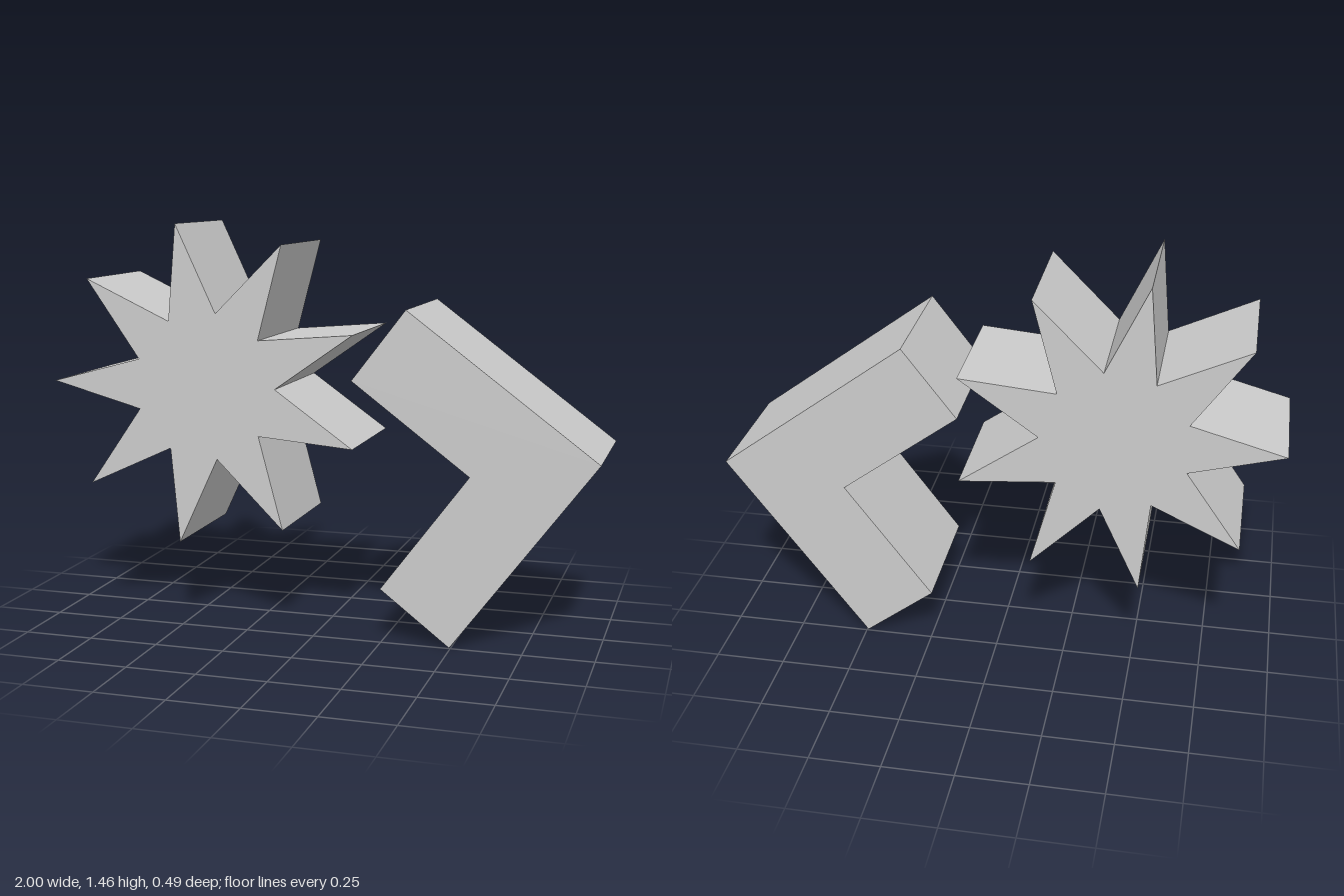
import * as THREE from 'three';

// Extrude a flat outline between two depths, with sharp edges
function prism(name, points, zBack, zFront) {
  const geometry = new THREE.ExtrudeGeometry(new THREE.Shape(points), {
    depth: zFront - zBack,
    bevelEnabled: false,
  });
  geometry.translate(0, 0, zBack);
  const material = new THREE.MeshStandardMaterial({ color: 0xcccccc, flatShading: true });
  const mesh = new THREE.Mesh(geometry, material);
  mesh.name = name;
  return mesh;
}

// Star outline whose first tip points towards -x
function starPoints(cx, cy, tips, outer, inner) {
  const points = [];
  for (let i = 0; i < tips * 2; i++) {
    const angle = Math.PI + (i * Math.PI) / tips;
    const r = i % 2 ? inner : outer;
    points.push(new THREE.Vector2(cx + r * Math.cos(angle), cy + r * Math.sin(angle)));
  }
  return points;
}

export function createModel() {
  const model = new THREE.Group();
  model.name = 'starAndAngle';

  // Nine-pointed star
  model.add(prism('star', starPoints(-0.414, 0.88, 9, 0.586, 0.266), -0.245, 0.225));

  // Tilted right-angle block
  const angle = [
    [0.33, 1.175], [0.138, 0.925], [0.558, 0.61],
    [0.245, 0.192], [0.495, 0], [1, 0.675],
  ].map(([x, y]) => new THREE.Vector2(x, y));
  model.add(prism('angleBlock', angle, -0.245, 0.245));

  return model;
}
